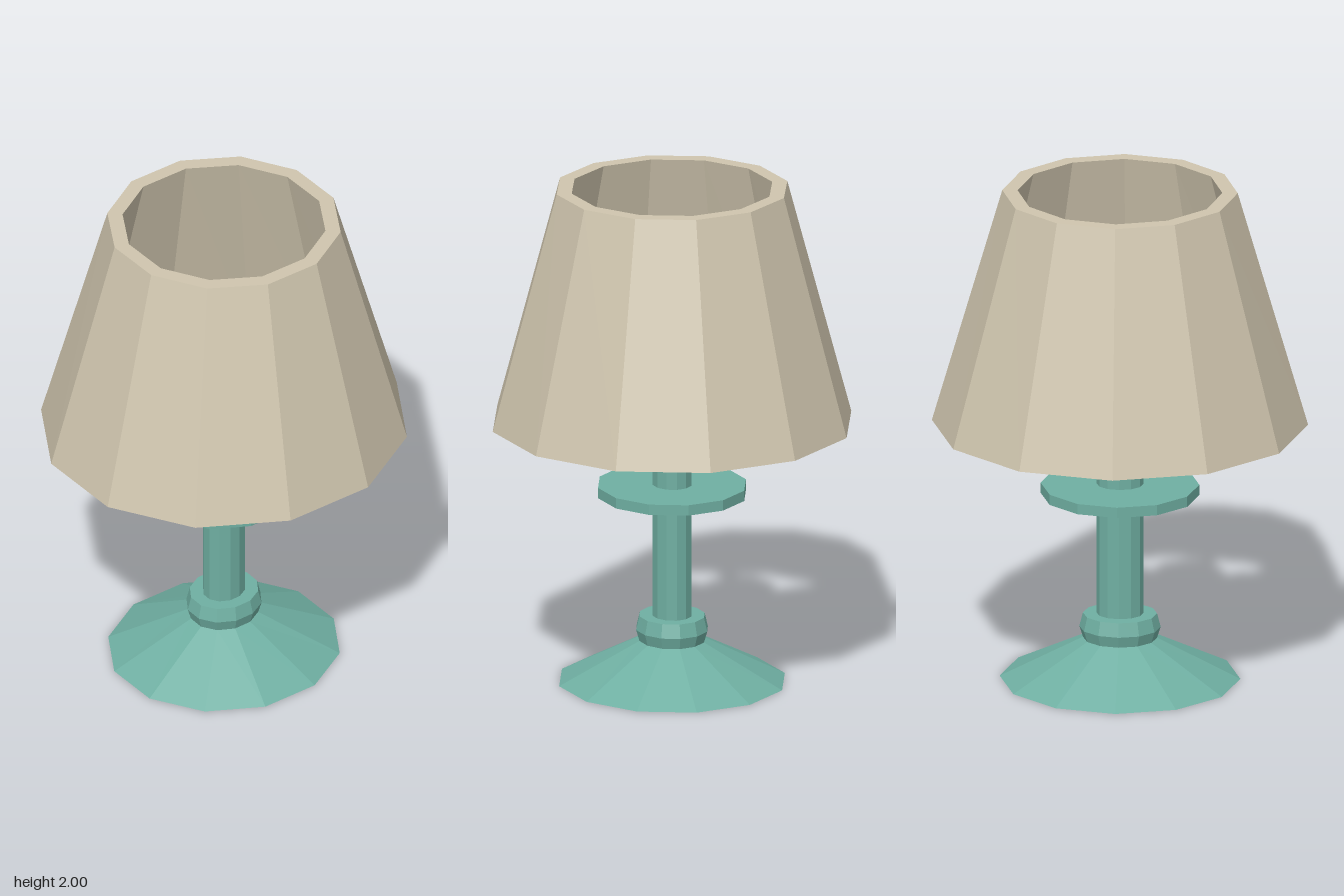
import * as THREE from 'three';

const material = (color) => new THREE.MeshStandardMaterial({ color, flatShading: true });

// Faceted turned part; each profile row is [x radius, height, z radius]
function turned(name, profile, sides, mat) {
  const points = profile.map(([r, y]) => new THREE.Vector2(r, y));
  const geometry = new THREE.LatheGeometry(points, sides);
  const pos = geometry.attributes.position;
  for (let i = 0; i < pos.count; i++) {
    const [rx, , rz = rx] = profile[i % profile.length];
    if (rx > 0) pos.setZ(i, pos.getZ(i) * rz / rx);
  }
  geometry.computeVertexNormals();
  const mesh = new THREE.Mesh(geometry, mat);
  mesh.name = name;
  return mesh;
}

export function createModel() {
  const lamp = new THREE.Group();
  lamp.name = 'tableLamp';
  const metal = material(0x6fafa2);
  const fabric = material(0xcfc5ae);
  const glass = material(0xcccccc);

  // Foot, collar and stem
  lamp.add(turned('base', [[0, 0], [0.45, 0, 0.47], [0.13, 0.165, 0.145], [0, 0.165]], 12, metal));
  lamp.add(turned('collar', [
    [0, 0.16], [0.13, 0.165, 0.145], [0.143, 0.21, 0.159], [0.13, 0.265, 0.145], [0, 0.265],
  ], 12, metal));
  lamp.add(turned('stem', [[0, 0.2], [0.078, 0.2, 0.091], [0.078, 1.2, 0.091], [0, 1.2]], 12, metal));
  lamp.add(turned('disc', [
    [0, 0.755], [0.295, 0.755, 0.31], [0.295, 0.797, 0.31], [0, 0.797],
  ], 12, metal));

  // Shade support: hub with four spokes reaching the inside of the shade
  const support = new THREE.Group();
  support.name = 'shadeSupport';
  support.add(turned('hub', [[0, 1.12], [0.12, 1.12], [0.12, 1.175], [0, 1.175]], 12, metal));
  for (let i = 0; i < 4; i++) {
    const spoke = new THREE.Group();
    spoke.name = 'spoke';
    const bar = new THREE.Mesh(new THREE.BoxGeometry(0.56, 0.032, 0.062), metal);
    bar.name = 'spokeBar';
    bar.position.set(0.34, 1.15, 0);
    spoke.add(bar);
    spoke.rotation.y = -THREE.MathUtils.degToRad(15) + i * Math.PI / 2;
    support.add(spoke);
  }
  lamp.add(support);

  // Socket and bulb
  lamp.add(turned('socket', [[0, 1.17], [0.092, 1.17], [0.092, 1.32], [0, 1.32]], 12, metal));
  lamp.add(turned('bulb', [
    [0, 1.31], [0.075, 1.31], [0.085, 1.38], [0.145, 1.49], [0.145, 1.57], [0.08, 1.66], [0, 1.66],
  ], 8, glass));

  // Hollow tapered shade
  lamp.add(turned('shade', [
    [0.715, 1.05, 0.735], [0.46, 2], [0.4, 2], [0.62, 1.05, 0.64], [0.715, 1.05, 0.735],
  ], 12, fabric));

  return lamp;
}
